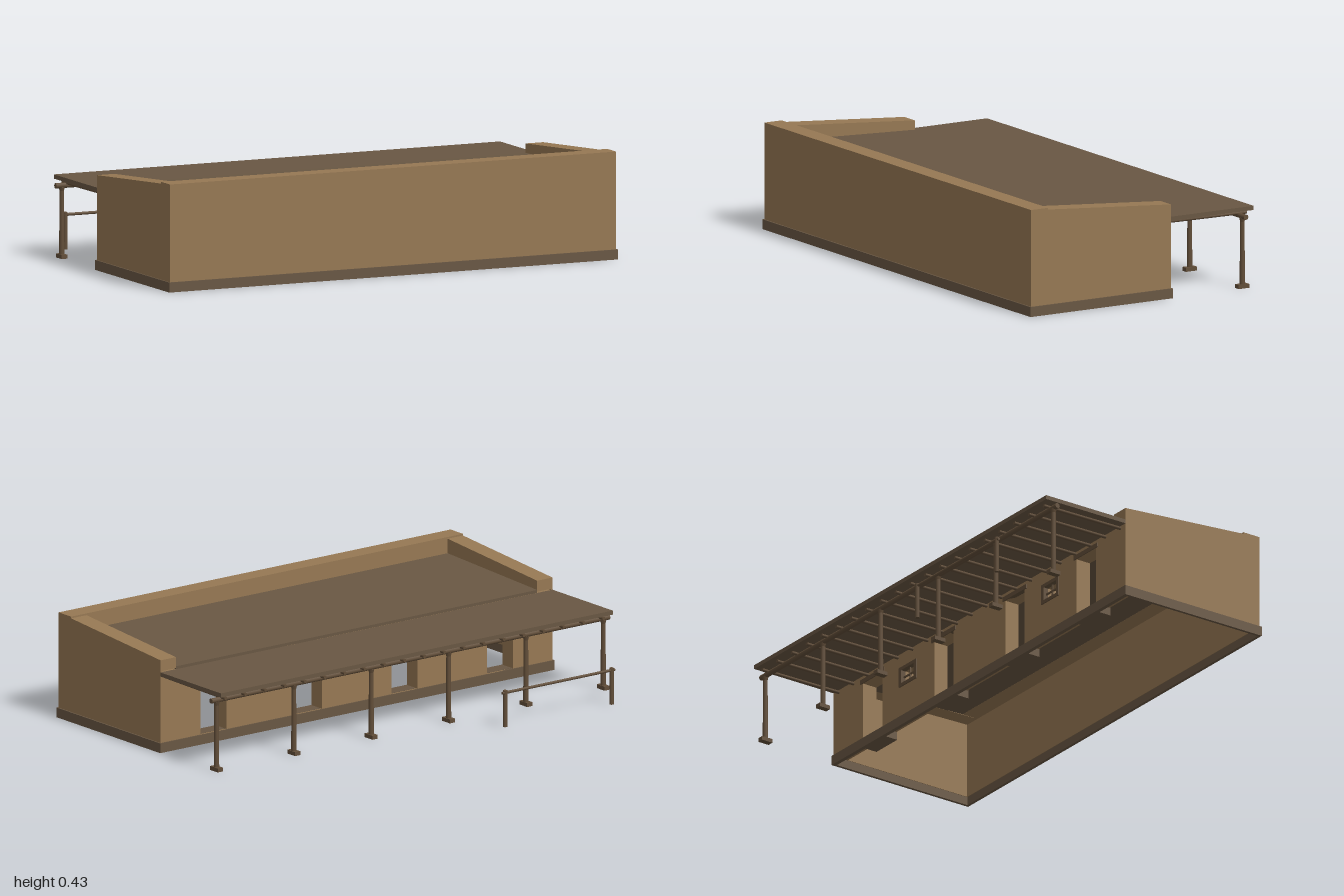
import * as THREE from 'three';

export function createModel() {
  const model = new THREE.Group();
  const material = (name, color, double) => {
    const m = new THREE.MeshStandardMaterial({ color });
    m.name = name;
    if (double) m.side = THREE.DoubleSide;
    return m;
  };
  const adobe = material('adobe', 0x967853, true);
  const boards = material('weathered boards', 0x695743);
  const timber = material('brown timber', 0x624e39);

  const add = (name, geometry, mat, x = 0, y = 0, z = 0) => {
    const mesh = new THREE.Mesh(geometry, mat);
    mesh.name = name;
    mesh.position.set(x, y, z);
    model.add(mesh);
    return mesh;
  };
  // Box given by its minimum and maximum on each axis
  const block = (name, mat, x0, x1, y0, y1, z0, z1) =>
    add(name, new THREE.BoxGeometry(x1 - x0, y1 - y0, z1 - z0), mat, (x0 + x1) / 2, (y0 + y1) / 2, (z0 + z1) / 2);
  // Extrudes a [z, y] outline along x
  const sideSlab = (name, mat, points, x0, x1) => {
    const shape = new THREE.Shape(points.map(([z, y]) => new THREE.Vector2(-z, y)));
    const g = new THREE.ExtrudeGeometry(shape, { depth: x1 - x0, bevelEnabled: false });
    g.rotateY(Math.PI / 2);
    return add(name, g, mat, x0);
  };
  const rect = (C, x, y, w, h) => new C([
    new THREE.Vector2(x - w / 2, y), new THREE.Vector2(x + w / 2, y),
    new THREE.Vector2(x + w / 2, y + h), new THREE.Vector2(x - w / 2, y + h)]);

  const doors = [0.72, 0.24, -0.24, -0.72];
  const windows = [0.48, -0.48];

  // Side walls: thin shell below, thick sloping parapet above
  const wallOutline = [[0.6, 0.035], [0.6, 0.432], [0.52, 0.432], [0.52, 0.425], [-0.057, 0.38], [-0.057, 0.035]];
  const parapetOutline = [[0.595, 0.35], [0.595, 0.432], [0.52, 0.432], [0.52, 0.425], [-0.057, 0.38], [-0.057, 0.335]];
  for (const s of [-1, 1]) {
    const span = (a, b) => (s > 0 ? [a, b] : [-b, -a]);
    sideSlab('sideWall', adobe, wallOutline, ...span(0.977, 0.985));
    sideSlab('sideParapet', adobe, parapetOutline, ...span(0.908, 0.977));
  }

  // Front wall and its parapet
  block('frontWall', adobe, -0.977, 0.977, 0.035, 0.432, 0.592, 0.6);
  block('frontParapet', adobe, -0.908, 0.908, 0.35, 0.432, 0.52, 0.592);

  // Back wall with deep door and window openings
  const backShape = rect(THREE.Shape, 0, 0.035, 1.954, 0.295);
  for (const x of doors) backShape.holes.push(rect(THREE.Path, x, 0.04, 0.13, 0.24));
  for (const x of windows) backShape.holes.push(rect(THREE.Path, x, 0.18, 0.09, 0.06));
  add('backWall', new THREE.ExtrudeGeometry(backShape, { depth: 0.065, bevelEnabled: false }), adobe, 0, 0, -0.057);

  // Plinth ring
  for (const s of [-1, 1]) {
    block('sidePlinth', boards, s * 0.985 - 0.006, s * 0.985 + 0.006, 0, 0.04, -0.062, 0.606);
  }
  block('frontPlinth', boards, -0.98, 0.98, 0, 0.04, 0.594, 0.606);
  block('backPlinth', boards, -0.98, 0.98, 0, 0.04, -0.062, -0.045);

  // Main roof deck, sloping to the back
  sideSlab('mainRoof', boards, [[0.56, 0.352], [0.56, 0.367], [-0.056, 0.342], [-0.056, 0.327]], -0.908, 0.908);

  // Door thresholds and lintels
  for (const x of doors) {
    block('threshold', boards, x - 0.07, x + 0.07, 0.002, 0.041, -0.05, 0.012);
    block('lintel', timber, x - 0.08, x + 0.08, 0.28, 0.298, -0.061, -0.03);
  }

  // Window frames with cross bars
  for (const x of windows) {
    for (const s of [-1, 1]) {
      block('windowJamb', timber, x + s * 0.05 - 0.008, x + s * 0.05 + 0.008, 0.168, 0.252, -0.062, -0.04);
      block('windowRail', timber, x - 0.042, x + 0.042, 0.21 + s * 0.035 - 0.007, 0.21 + s * 0.035 + 0.007, -0.062, -0.04);
    }
    block('windowBar', timber, x - 0.003, x + 0.003, 0.18, 0.24, -0.05, -0.044);
    block('windowCrossBar', timber, x - 0.042, x + 0.042, 0.207, 0.213, -0.05, -0.044);
  }

  // Porch roof on round rafters
  block('porchRoof', boards, -0.985, 0.985, 0.313, 0.33, -0.445, -0.055);
  for (let i = 0; i < 20; i++) {
    const rafter = add('rafter', new THREE.CylinderGeometry(0.007, 0.007, 0.38, 8), timber, -0.95 + i * 0.1, 0.302, -0.242);
    rafter.rotation.x = Math.PI / 2 - 0.01;
  }

  // Porch beam, posts, caps and footings
  const beam = add('porchBeam', new THREE.CylinderGeometry(0.011, 0.011, 2, 8), timber, 0, 0.291, -0.4);
  beam.rotation.z = Math.PI / 2;
  for (let i = 0; i < 6; i++) {
    const x = -0.972 + i * 0.3888;
    add('porchPost', new THREE.CylinderGeometry(0.009, 0.011, 0.27, 8), timber, x, 0.15, -0.4);
    add('postCap', new THREE.CylinderGeometry(0.013, 0.009, 0.016, 8), timber, x, 0.277, -0.4);
    block('postFooting', timber, x - 0.013, x + 0.013, 0, 0.016, -0.425, -0.375);
  }

  // Free-standing hitching rail
  for (const x of [-0.86, -0.325]) {
    add('hitchingPost', new THREE.CylinderGeometry(0.009, 0.009, 0.15, 8), timber, x, 0.075, -0.597);
  }
  const rail = add('hitchingRail', new THREE.CylinderGeometry(0.006, 0.006, 0.565, 8), timber, -0.5925, 0.14, -0.597);
  rail.rotation.z = Math.PI / 2;

  return model;
}
